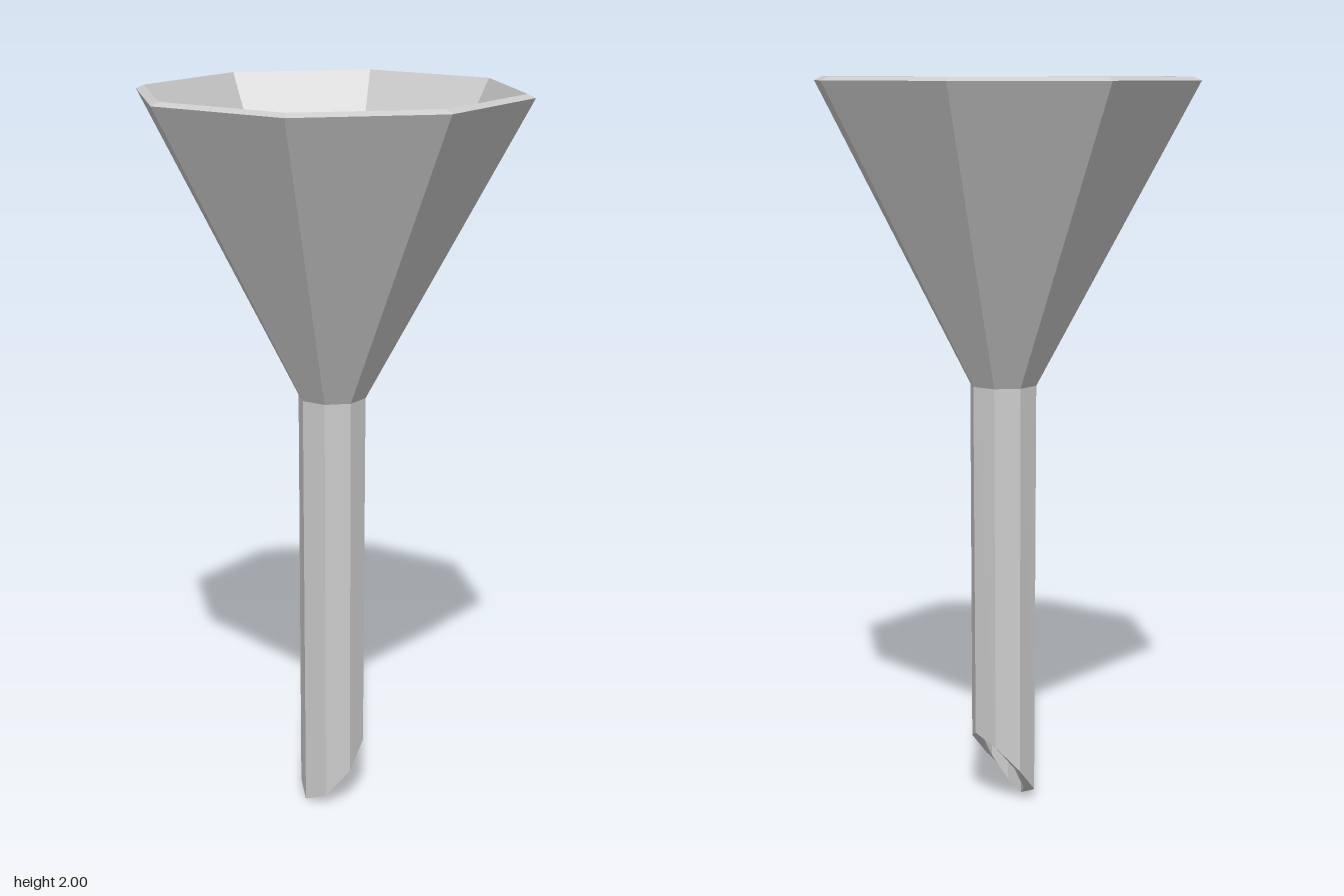
import * as THREE from 'three';

const SIDES = 8;

export function createModel() {
  const group = new THREE.Group();
  const material = new THREE.MeshStandardMaterial({ color: 0xcccccc, flatShading: true });

  // Closed wall section: up the outside, over the rim, down the inside
  const profile = [
    [0.062, 0], [0.093, 0],
    [0.093, 1.175], [0.532, 1.99],
    [0.51, 2], [0.062, 1.19],
    [0.062, 0],
  ].map(([r, y]) => new THREE.Vector2(r, y));
  const geometry = new THREE.LatheGeometry(profile, SIDES);

  // Slanted spout tip: the lower ring rises towards +x and narrows slightly
  const pos = geometry.attributes.position;
  for (let i = 0; i < pos.count; i++) {
    if (pos.getY(i) > 0.001) continue;
    const x = pos.getX(i);
    const r = Math.hypot(x, pos.getZ(i));
    pos.setXYZ(i, x * 0.95, 0.1 + 0.1 * (x / r), pos.getZ(i));
  }
  geometry.computeVertexNormals();

  const funnel = new THREE.Mesh(geometry, material);
  funnel.name = 'funnel';
  group.add(funnel);
  return group;
}
